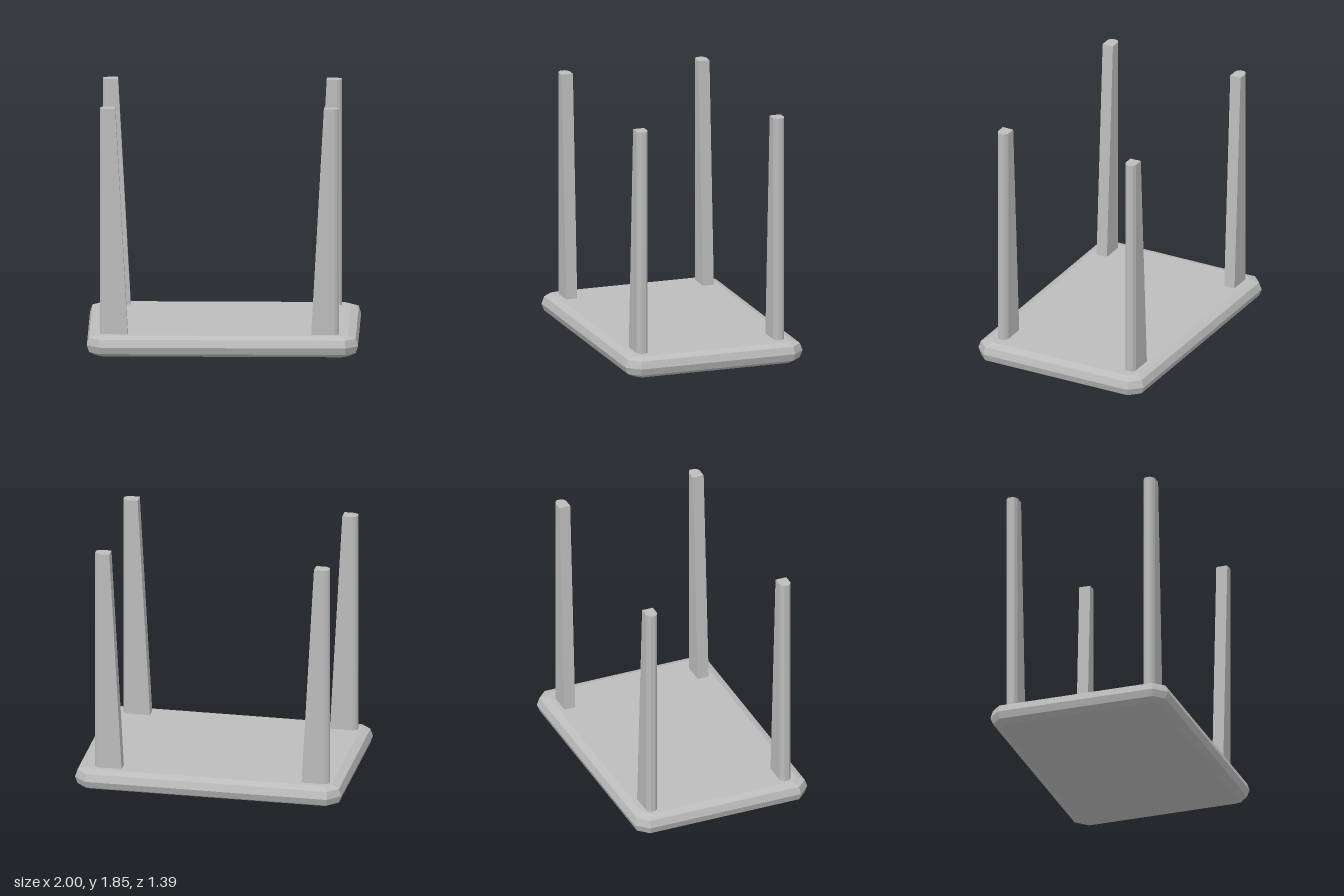
import * as THREE from 'three';

// Skin over stacked rings of [x, y, z] points (running from +x towards +z), capped at both ends
function loft(rings) {
  const pos = [];
  const tri = (...pts) => pts.forEach((p) => pos.push(...p));
  const n = rings[0].length;
  for (let r = 0; r < rings.length - 1; r++) {
    for (let i = 0; i < n; i++) {
      const j = (i + 1) % n;
      const a = rings[r][i], b = rings[r][j], c = rings[r + 1][j], d = rings[r + 1][i];
      tri(a, d, c);
      tri(a, c, b);
    }
  }
  const bottom = rings[0], top = rings[rings.length - 1];
  for (let i = 1; i < n - 1; i++) {
    tri(bottom[0], bottom[i], bottom[i + 1]);
    tri(top[0], top[i + 1], top[i]);
  }
  const geometry = new THREE.BufferGeometry();
  geometry.setAttribute('position', new THREE.Float32BufferAttribute(pos, 3));
  geometry.computeVertexNormals();
  return geometry;
}

// Rectangle with cut corners
function slabRing(y, x, z, cut) {
  return [
    [x, -z + cut], [x, z - cut], [x - cut, z], [-x + cut, z],
    [-x, z - cut], [-x, -z + cut], [-x + cut, -z], [x - cut, -z],
  ].map(([px, pz]) => [px, y, pz]);
}

// Leg section: square inner end, rounded outer end
function legRing(y, inner, outer, side) {
  const h = 0.043;
  const ring = [
    [inner, -h], [outer - 0.035, -h], [outer - 0.012, -0.032], [outer, -0.018],
    [outer, 0.018], [outer - 0.012, 0.032], [outer - 0.035, h], [inner, h],
  ].map(([px, pz]) => [px * side, y, pz]);
  return side > 0 ? ring : ring.reverse();
}

export function createModel() {
  const grey = new THREE.MeshStandardMaterial({ color: 0xbcbcbc, flatShading: true });
  grey.name = 'grey';
  const table = new THREE.Group();
  table.name = 'upturnedTable';

  // Table top lying face down, with bevelled rim
  const slab = new THREE.Mesh(loft([
    slabRing(0, 0.93, 0.615, 0.05),
    slabRing(0.028, 0.977, 0.67, 0.075),
    slabRing(0.08, 0.994, 0.69, 0.09),
    slabRing(0.135, 0.977, 0.67, 0.075),
    slabRing(0.157, 0.92, 0.615, 0.05),
  ]), grey);
  slab.name = 'tableTop';
  table.add(slab);

  // Four legs pointing up, tapered on the inner side
  for (const side of [-1, 1]) {
    const geometry = loft([
      legRing(0.15, 0.672, 0.875, side),
      legRing(1.845, 0.765, 0.875, side),
    ]);
    for (const [end, z] of [['back', -0.535], ['front', 0.53]]) {
      const leg = new THREE.Mesh(geometry, grey);
      leg.name = `${end}${side > 0 ? 'Left' : 'Right'}Leg`;
      leg.position.set(-0.022, 0, z);
      table.add(leg);
    }
  }

  // Slightly askew
  table.rotation.y = -0.0075;
  const model = new THREE.Group();
  model.name = 'table';
  model.add(table);
  return model;
}
